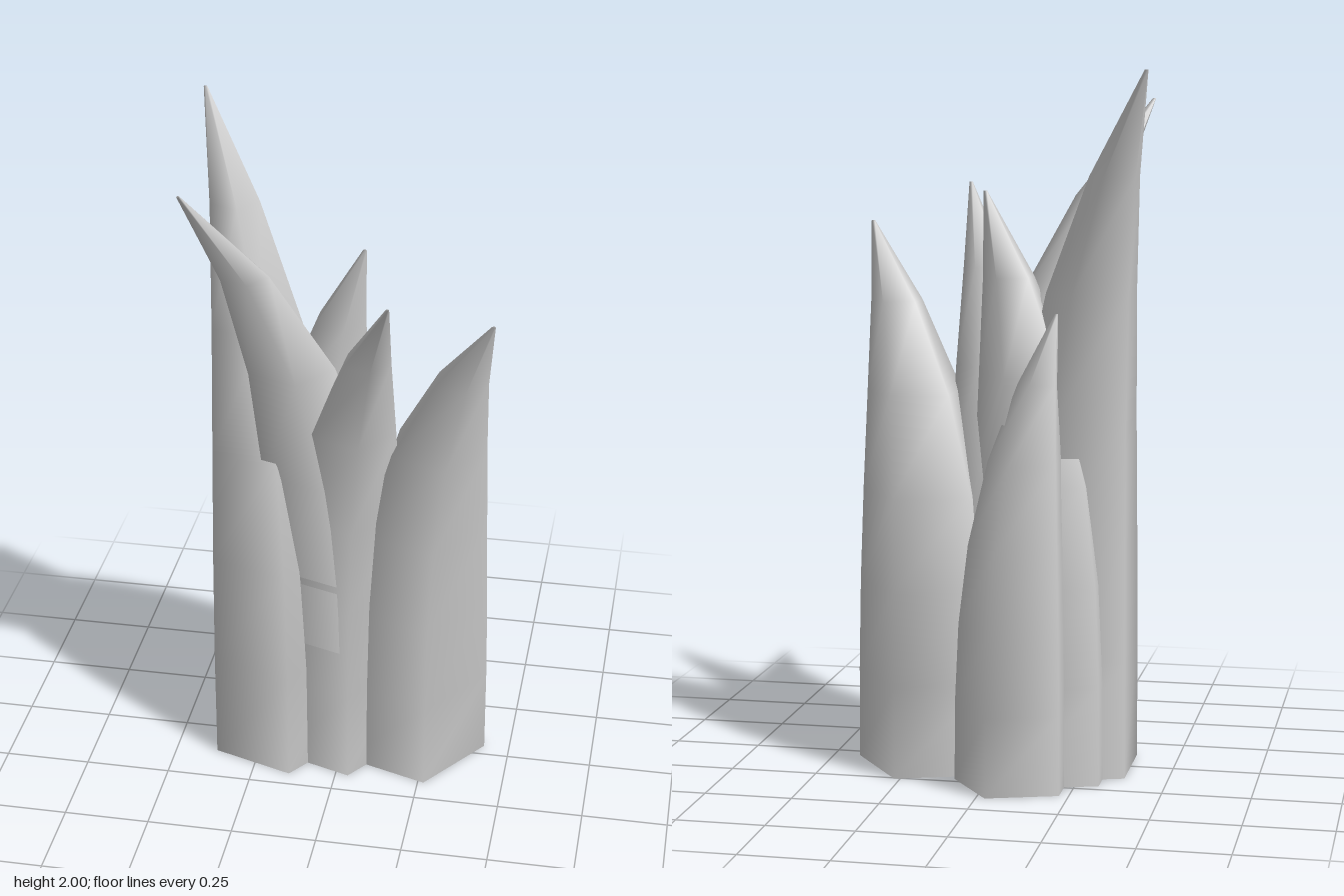
import * as THREE from 'three';

const SIDES = 5;
const RINGS = [0, 0.17, 0.34, 0.51, 0.69, 0.855, 1];

// Open-bottomed five-sided blade that narrows and bends from its base centre to its tip
function bladeGeometry([cx, cz, radius], [tx, ty, tz]) {
  const positions = [];
  const indices = [];
  for (const t of RINGS) {
    const bend = Math.pow(t, 3.35);
    const r = radius * Math.max(1 - Math.pow(t, 2.75), 0.025);
    const x = cx + (tx - cx) * bend;
    const z = cz + (tz - cz) * bend;
    for (let j = 0; j < SIDES; j++) {
      const a = (j / SIDES) * Math.PI * 2;
      positions.push(x + r * Math.cos(a), ty * t, z + r * Math.sin(a));
    }
  }
  for (let i = 0; i < RINGS.length - 1; i++) {
    for (let j = 0; j < SIDES; j++) {
      const a = i * SIDES + j;
      const b = i * SIDES + ((j + 1) % SIDES);
      indices.push(a, a + SIDES, b, b, a + SIDES, b + SIDES);
    }
  }
  // Tiny cap closing the tip
  const top = (RINGS.length - 1) * SIDES;
  for (let j = 1; j < SIDES - 1; j++) indices.push(top, top + j + 1, top + j);

  const geometry = new THREE.BufferGeometry();
  geometry.setAttribute('position', new THREE.Float32BufferAttribute(positions, 3));
  geometry.setIndex(indices);
  geometry.computeVertexNormals();
  return geometry;
}

export function createModel() {
  const group = new THREE.Group();
  group.name = 'grassClump';
  const material = new THREE.MeshStandardMaterial({ color: 0xcccccc, side: THREE.DoubleSide });

  // base: centre x, centre z, radius; tip: x, y, z
  const blades = [
    { name: 'tallRightBackBlade', base: [-0.204, -0.003, 0.213], tip: [-0.443, 2.0, -0.26] },
    { name: 'rightFrontBlade', base: [-0.045, -0.02, 0.2], tip: [-0.384, 1.92, 0.327] },
    { name: 'frontBlade', base: [-0.024, -0.012, 0.2], tip: [0.178, 1.67, 0.387] },
    { name: 'leftBlade', base: [0.197, -0.042, 0.227], tip: [0.438, 1.56, 0.218] },
    { name: 'middleBlade', base: [-0.137, -0.086, 0.222], tip: [0.055, 1.66, 0.01] },
    { name: 'shortBackBlade', base: [-0.08, -0.227, 0.177], tip: [-0.183, 1.33, -0.17] },
  ];
  for (const { name, base, tip } of blades) {
    const mesh = new THREE.Mesh(bladeGeometry(base, tip), material);
    mesh.name = name;
    group.add(mesh);
  }
  return group;
}
